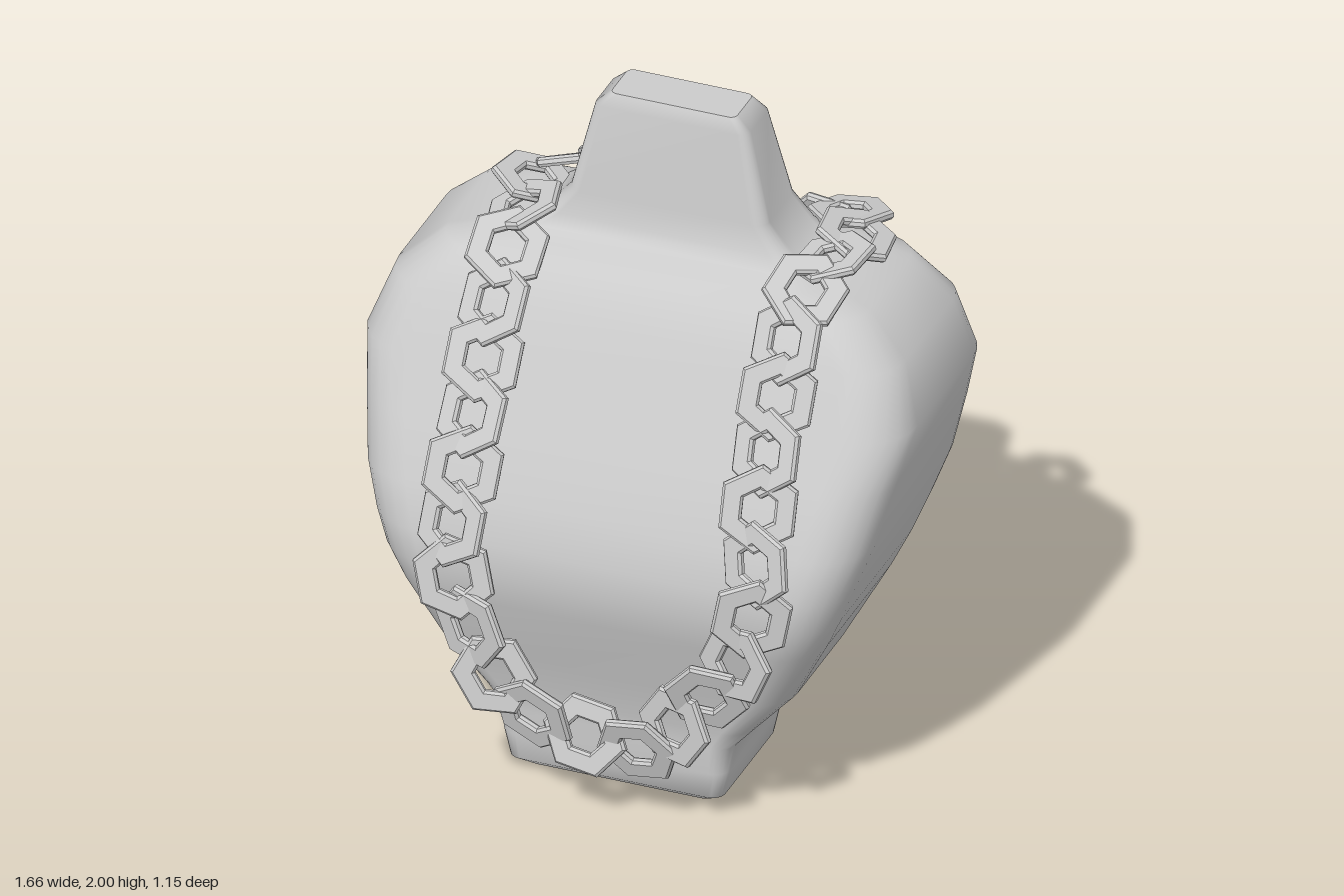
import * as THREE from 'three';

const material = new THREE.MeshStandardMaterial({ color: 0xcccccc, side: THREE.DoubleSide });

// Bust sections: [y, half width, z front, z back, front corner radius, back corner radius]
const SECTIONS = [
  [0, 0.28, 0.28, -0.07, 0.03, 0.03],
  [0.035, 0.325, 0.325, -0.11, 0.04, 0.04],
  [0.12, 0.345, 0.335, -0.115, 0.05, 0.05],
  [0.2, 0.355, 0.335, -0.115, 0.06, 0.06],
  [0.26, 0.41, 0.34, -0.12, 0.08, 0.07],
  [0.4, 0.535, 0.375, -0.165, 0.11, 0.09],
  [0.6, 0.64, 0.44, -0.295, 0.14, 0.11],
  [0.7, 0.685, 0.458, -0.35, 0.15, 0.12],
  [0.8, 0.72, 0.455, -0.4, 0.16, 0.12],
  [0.93, 0.765, 0.42, -0.435, 0.17, 0.12],
  [1.1, 0.8, 0.34, -0.46, 0.17, 0.12],
  [1.25, 0.83, 0.26, -0.457, 0.17, 0.12],
  [1.42, 0.77, 0.18, -0.445, 0.15, 0.12],
  [1.53, 0.64, 0.1, -0.42, 0.12, 0.11],
  [1.56, 0.5, 0.035, -0.38, 0.1, 0.1],
  [1.575, 0.42, -0.03, -0.34, 0.07, 0.07],
  [1.61, 0.37, -0.055, -0.325, 0.05, 0.05],
  [1.69, 0.3, -0.07, -0.315, 0.04, 0.04],
  [1.96, 0.235, -0.1, -0.28, 0.03, 0.03],
  [2, 0.19, -0.12, -0.262, 0.02, 0.02],
];

// Rounded rectangle outline of one section
function ring([y, w, zf, zb, rf, rb]) {
  const points = [], steps = 6;
  const corners = [[w - rf, zf - rf, rf], [-w + rf, zf - rf, rf], [-w + rb, zb + rb, rb], [w - rb, zb + rb, rb]];
  corners.forEach(([cx, cz, r], q) => {
    for (let s = 0; s <= steps; s++) {
      const a = (q + s / steps) * Math.PI / 2;
      points.push([cx + r * Math.cos(a), y, cz + r * Math.sin(a)]);
    }
  });
  return points;
}

// Skin through the sections, with flat caps
function loft(sections) {
  const rows = sections.map(ring), n = rows[0].length;
  const pos = rows.flat(2), index = [];
  for (let j = 0; j < rows.length - 1; j++) {
    for (let i = 0; i < n; i++) {
      const k = (i + 1) % n, a = j * n + i, b = j * n + k;
      index.push(a, a + n, b, b, a + n, b + n);
    }
  }
  [[0, false], [rows.length - 1, true]].forEach(([j, top]) => {
    const start = pos.length / 3, s = sections[j];
    pos.push(...rows[j].flat(), 0, s[0], (s[2] + s[3]) / 2);
    for (let i = 0; i < n; i++) {
      const a = start + i, b = start + (i + 1) % n;
      index.push(start + n, ...(top ? [b, a] : [a, b]));
    }
  });
  const geometry = new THREE.BufferGeometry();
  geometry.setAttribute('position', new THREE.Float32BufferAttribute(pos, 3));
  geometry.setIndex(index);
  geometry.computeVertexNormals();
  return geometry;
}

// Flat elongated hexagonal link, long axis y, face toward z
function linkGeometry() {
  const hex = (w, l) => [[0, l], [-w, l * 0.5], [-w, -l * 0.5], [0, -l], [w, -l * 0.5], [w, l * 0.5]]
    .map(([x, y]) => new THREE.Vector2(x, y));
  const shape = new THREE.Shape(hex(0.1, 0.122));
  shape.holes.push(new THREE.Path(hex(0.053, 0.068).reverse()));
  const geometry = new THREE.ExtrudeGeometry(shape, {
    depth: 0.012, bevelEnabled: true, bevelThickness: 0.008, bevelSize: 0.007, bevelSegments: 1,
  });
  return geometry.translate(0, 0, -0.006);
}

// Closed line of the necklace: down the front, over the shoulders, round the back
const PATH = [
  [-0.41, 1.57, 0.11], [-0.41, 1.34, 0.27], [-0.41, 1.05, 0.43], [-0.42, 0.78, 0.51],
  [-0.35, 0.55, 0.52], [-0.22, 0.34, 0.51], [0, 0.27, 0.5], [0.17, 0.27, 0.5],
  [0.3, 0.42, 0.51], [0.44, 0.6, 0.52], [0.5, 0.8, 0.51], [0.48, 1.05, 0.43],
  [0.47, 1.34, 0.27], [0.47, 1.57, 0.11], [0.49, 1.62, -0.05], [0.5, 1.61, -0.27],
  [0.41, 1.58, -0.42], [0.26, 1.42, -0.49], [0.06, 1.31, -0.51], [-0.1, 1.33, -0.51],
  [-0.27, 1.47, -0.48], [-0.37, 1.6, -0.38], [-0.45, 1.62, -0.18], [-0.41, 1.62, 0],
].map((p) => new THREE.Vector3(...p));

function createNecklace() {
  const chain = new THREE.Group();
  chain.name = 'chainNecklace';
  const curve = new THREE.CatmullRomCurve3(PATH, true);
  const geometry = linkGeometry();
  const count = 2 * Math.round(curve.getLength() / 0.162 / 2);
  for (let i = 0; i < count; i++) {
    const p = curve.getPointAt(i / count), along = curve.getTangentAt(i / count);
    // outward direction: forward in front, up on the shoulders, backward behind
    const out = new THREE.Vector3(0, Math.max(0, p.y - 1.2), p.z + 0.18);
    out.addScaledVector(along, -out.dot(along)).normalize();
    const side = new THREE.Vector3().crossVectors(along, out);
    const link = new THREE.Mesh(geometry, material);
    link.name = 'chainLink';
    link.quaternion.setFromRotationMatrix(new THREE.Matrix4().makeBasis(side, along, out));
    // neighbours roll opposite ways so they interlock
    link.rotateY(i % 2 ? 0.3 : -0.25);
    link.rotateX(0.08);
    link.position.copy(p);
    chain.add(link);
  }
  return chain;
}

export function createModel() {
  const model = new THREE.Group();
  model.name = 'necklaceDisplay';
  const bust = new THREE.Mesh(loft(SECTIONS), material);
  bust.name = 'displayBust';
  model.add(bust, createNecklace());
  return model;
}
